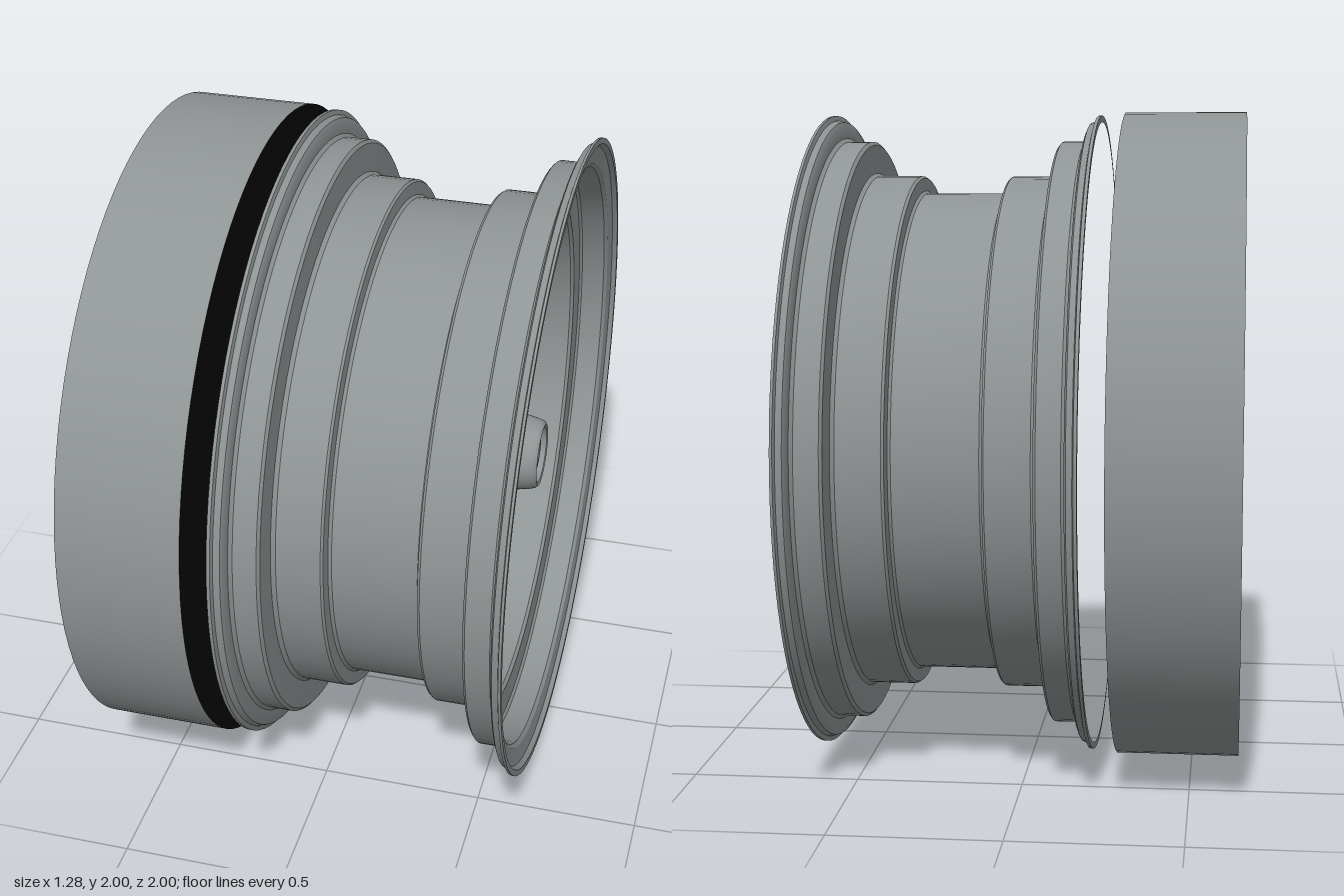
import * as THREE from 'three';
import { toCreasedNormals } from 'three/addons/utils/BufferGeometryUtils.js';

const steel = new THREE.MeshStandardMaterial({ color: 0x8f9494 });
steel.name = 'satin steel';
const black = new THREE.MeshStandardMaterial({ color: 0x090909 });
black.name = 'black';

const STEP = (Math.PI * 2) / 5;
const rad = (deg) => (deg * Math.PI) / 180;

function add(parent, name, geometry, material) {
  const mesh = new THREE.Mesh(geometry, material);
  mesh.name = name;
  parent.add(mesh);
  return mesh;
}

// Lathe about the z axis from [axial, radius] pairs
function turned(pairs, segments = 96) {
  const g = new THREE.LatheGeometry(pairs.map(([z, r]) => new THREE.Vector2(r, z)), segments);
  return toCreasedNormals(g.rotateX(Math.PI / 2), rad(32));
}

// Rounded wedge window between two spokes; trim narrows it by some degrees
function windowHole(centre, inner, outer, trim) {
  const p = (r, deg) => [r * Math.cos(centre + rad(deg)), r * Math.sin(centre + rad(deg))];
  const low = inner + 0.07, high = outer - 0.095;
  const a = 27.5 - trim, b = 31 - trim, arcIn = 15 - trim / 2, arcOut = 19 - trim / 2;
  const h = new THREE.Path();
  h.moveTo(...p(inner, -arcIn));
  h.absarc(0, 0, inner, centre - rad(arcIn), centre + rad(arcIn), false);
  h.quadraticCurveTo(...p(inner + 0.01, a), ...p(low, a));
  h.lineTo(...p(high, b));
  h.quadraticCurveTo(...p(outer + 0.005, b + 0.5), ...p(outer, arcOut));
  h.absarc(0, 0, outer, centre + rad(arcOut), centre - rad(arcOut), true);
  h.quadraticCurveTo(...p(outer + 0.005, -b - 0.5), ...p(high, -b));
  h.lineTo(...p(low, -a));
  h.quadraticCurveTo(...p(inner + 0.01, -a), ...p(inner, -arcIn));
  return h;
}

// Disc with five windows, front face at z = 0
function spokedDisc(radius, inner, outer, trim, depth, bevel) {
  const shape = new THREE.Shape().absarc(0, 0, radius, 0, Math.PI * 2, false);
  for (let i = 0; i < 5; i++) {
    shape.holes.push(windowHole(-Math.PI / 2 + i * STEP, inner, outer, trim));
  }
  const g = new THREE.ExtrudeGeometry(shape, {
    depth: depth - 2 * bevel, curveSegments: 20, bevelEnabled: true,
    bevelThickness: bevel, bevelSize: bevel, bevelOffset: -bevel, bevelSegments: 3,
  });
  return g.translate(0, 0, bevel - depth);
}

export function createModel() {
  const model = new THREE.Group();
  model.name = 'wheelAndDrum';

  // Everything is built along z, then turned so that z becomes x
  const axle = new THREE.Group();
  axle.name = 'axle';
  axle.rotation.y = Math.PI / 2;
  axle.position.y = 1;
  model.add(axle);

  // Drum with black ends
  const drumSide = new THREE.CylinderGeometry(1, 1, 0.37, 96, 1, true).rotateX(Math.PI / 2);
  add(axle, 'drumSide', drumSide, steel).position.z = -0.46;
  add(axle, 'drumFrontFace', new THREE.CircleGeometry(1, 96), black).position.z = -0.275;
  add(axle, 'drumBackFace', new THREE.CircleGeometry(1, 96).rotateY(Math.PI), black).position.z = -0.645;

  // Stepped rim: outside from back to front, over the lip, then the inside of the dish
  add(axle, 'rim', turned([
    [-0.2, 0.97], [-0.2, 0.99], [-0.19, 0.99], [-0.186, 0.975], [-0.168, 0.968], [-0.162, 0.955],
    [-0.16, 0.92], [-0.15, 0.91], [-0.08, 0.91], [-0.072, 0.9], [-0.068, 0.812], [-0.056, 0.803],
    [0.076, 0.803], [0.083, 0.797], [0.086, 0.757], [0.095, 0.75], [0.347, 0.75], [0.355, 0.757],
    [0.358, 0.797], [0.366, 0.803], [0.498, 0.803], [0.509, 0.812], [0.512, 0.9], [0.52, 0.91],
    [0.592, 0.91], [0.602, 0.92], [0.604, 0.957], [0.61, 0.97], [0.628, 0.975], [0.632, 0.99],
    [0.64, 0.99], [0.64, 0.972], [0.625, 0.962], [0.618, 0.91], [0.608, 0.898], [0.535, 0.895],
    [0.527, 0.885], [0.523, 0.8], [0.513, 0.79], [0.382, 0.787], [0.374, 0.78], [0.37, 0.745],
    [0.36, 0.737], [0.24, 0.735],
  ]), steel);

  // Spokes rise from the outer ring to the hub
  const spokes = spokedDisc(0.74, 0.19, 0.675, 0, 0.09, 0.014);
  const pos = spokes.attributes.position;
  for (let i = 0; i < pos.count; i++) {
    const r = Math.hypot(pos.getX(i), pos.getY(i));
    const t = THREE.MathUtils.clamp((r - 0.2) / 0.44, 0, 1);
    pos.setZ(i, pos.getZ(i) + 0.45 - 0.17 * t);
  }
  add(axle, 'spokes', toCreasedNormals(spokes, rad(35)), steel);
  add(axle, 'hub', turned([[0.2, 0.185], [0.4, 0.185]], 48), steel);

  // Black backing plate with smaller windows
  const backing = toCreasedNormals(spokedDisc(0.735, 0.4, 0.615, 6, 0.11, 0.008), rad(35));
  add(axle, 'backingPlate', backing, black).position.z = 0.22;

  // Centre cap with recessed end
  add(axle, 'centreCap', turned([
    [0.43, 0.14], [0.455, 0.135], [0.47, 0.125], [0.54, 0.112], [0.56, 0.106], [0.568, 0.097],
    [0.565, 0.087], [0.545, 0.08], [0.545, 0.072], [0.552, 0.06], [0.555, 0],
  ], 48), steel);

  // Wheel nuts, one in each window
  for (let i = 0; i < 5; i++) {
    const a = -Math.PI / 2 + i * STEP;
    const nut = new THREE.Group();
    nut.name = 'wheelNut';
    nut.position.set(0.27 * Math.cos(a), 0.27 * Math.sin(a), 0);
    nut.rotation.z = a;
    axle.add(nut);
    add(nut, 'nutBody', turned([[0.21, 0.066], [0.315, 0.066], [0.325, 0.055], [0.325, 0]], 6), steel);
    add(nut, 'nutTip', turned([[0.32, 0.046], [0.345, 0.044], [0.358, 0.036], [0.365, 0.02], [0.367, 0]], 24), steel);
  }

  return model;
}
